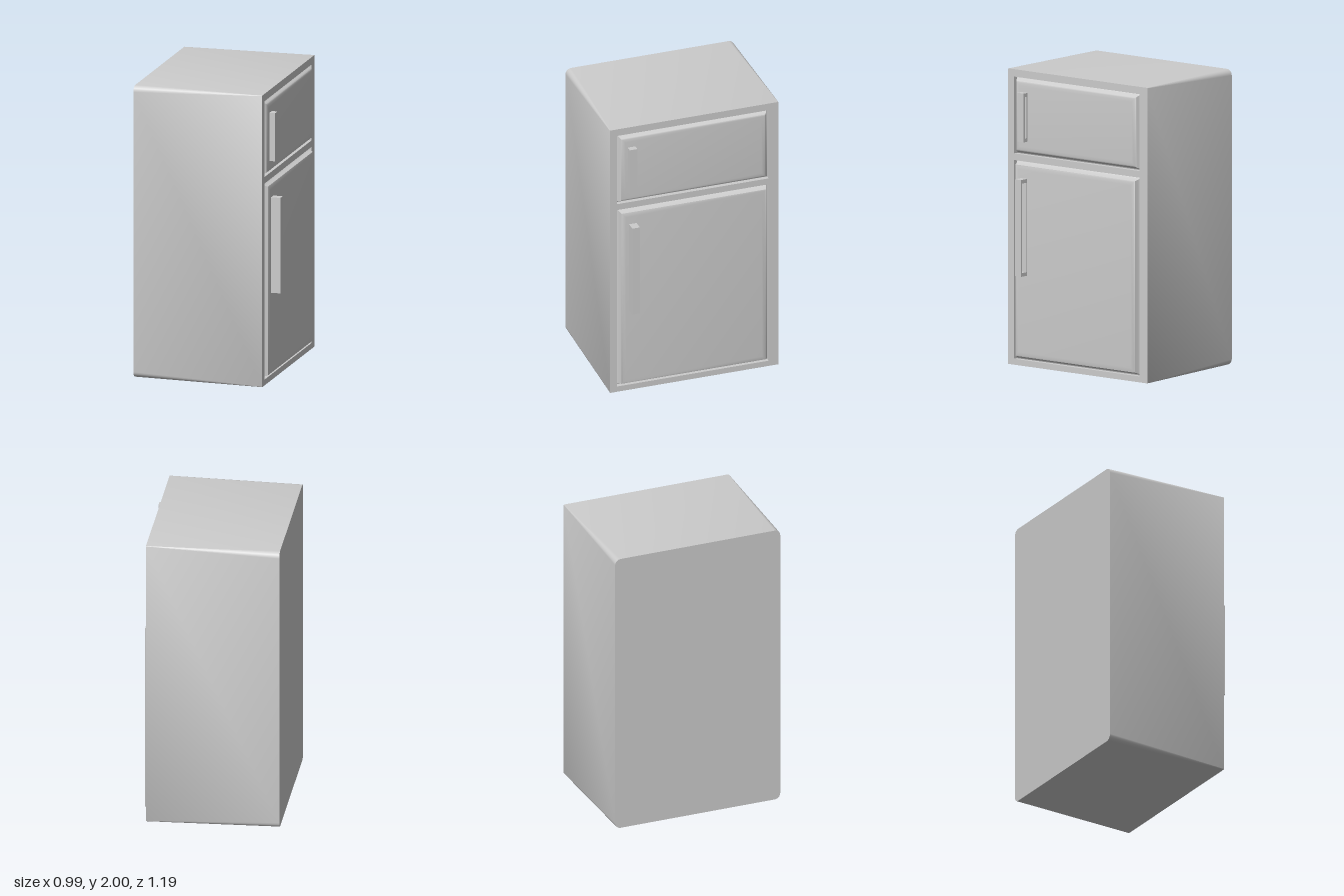
import * as THREE from 'three';
import { toCreasedNormals } from 'three/addons/utils/BufferGeometryUtils.js';

const material = new THREE.MeshStandardMaterial({ color: 0xcccccc });
const BACK = -0.495, FRONT = 0.402, HALF = 0.595, HEIGHT = 2;

// Door openings, seen facing the doors: u runs to the right (u = -z)
const openings = [
  { name: 'freezerDoor', u0: -0.545, u1: 0.525, y0: 1.43, y1: 1.95, face: 0.415 },
  { name: 'fridgeDoor', u0: -0.545, u1: 0.525, y0: 0.04, y1: 1.385, face: 0.425 },
];

// Rounded rectangle at depth x, as counter-clockwise [x, y, z] points
function ring(x, u0, u1, y0, y1, radius = 0, steps = 0) {
  const corners = [[u1, y1, -1, -1], [u0, y1, 1, -1], [u0, y0, 1, 1], [u1, y0, -1, 1]];
  const points = [];
  corners.forEach(([u, y, su, sy], i) => {
    for (let k = 0; k <= steps; k++) {
      const a = (i + (steps ? k / steps : 0.5)) * Math.PI / 2;
      const r = steps ? radius : 0;
      points.push([x, y + sy * r + r * Math.sin(a), -(u + su * r + r * Math.cos(a))]);
    }
  });
  return points;
}

// Skin over successive rings, with optional flat ends
function loft(rings, capStart, capEnd, crease) {
  const n = rings[0].length;
  const index = [];
  for (let i = 0; i < rings.length - 1; i++) {
    for (let j = 0; j < n; j++) {
      const a = i * n + j, b = i * n + (j + 1) % n;
      index.push(a, b, b + n, a, b + n, a + n);
    }
  }
  const last = (rings.length - 1) * n;
  for (let j = 1; j < n - 1; j++) {
    if (capStart) index.push(0, j + 1, j);
    if (capEnd) index.push(last, last + j, last + j + 1);
  }
  const geometry = new THREE.BufferGeometry();
  geometry.setAttribute('position', new THREE.Float32BufferAttribute(rings.flat(2), 3));
  geometry.setIndex(index);
  return toCreasedNormals(geometry, crease);
}

function rectangle(Type, x0, x1, y0, y1) {
  const p = new Type();
  p.moveTo(x0, y0);
  p.lineTo(x1, y0);
  p.lineTo(x1, y1);
  p.lineTo(x0, y1);
  p.closePath();
  return p;
}

function add(parent, name, geometry) {
  const mesh = new THREE.Mesh(geometry, material);
  mesh.name = name;
  parent.add(mesh);
  return mesh;
}

// Pull handle hollowed out on the side away from the door edge
function addHandle(parent, name, x0, x1, y0, y1, z0, z1) {
  const handle = new THREE.Group();
  handle.name = name;
  const rim = 0.012, plate = 0.018;
  const frame = rectangle(THREE.Shape, x0, x1, y0, y1);
  frame.holes.push(rectangle(THREE.Path, x0 + rim, x1 - rim, y0 + 0.025, y1 - 0.025));
  const frameGeometry = new THREE.ExtrudeGeometry(frame, { depth: z1 - plate - z0, bevelEnabled: false });
  add(handle, 'handleRim', frameGeometry.translate(0, 0, z0));
  const grip = new THREE.BoxGeometry(x1 - x0, y1 - y0, plate);
  add(handle, 'handleGrip', grip.translate((x0 + x1) / 2, (y0 + y1) / 2, z1 - plate / 2));
  parent.add(handle);
}

export function createModel() {
  const model = new THREE.Group();
  model.name = 'refrigerator';

  // Cabinet: softened corners at the back, square at the door side
  add(model, 'cabinet', loft([
    ring(BACK, -HALF, HALF, 0, HEIGHT, 0.04, 5),
    ring(FRONT, -HALF, HALF, 0, HEIGHT, 0.003, 5),
  ], true, false, 0.7));

  // Front frame around both openings
  const face = rectangle(THREE.Shape, -HALF, HALF, 0, HEIGHT);
  for (const o of openings) face.holes.push(rectangle(THREE.Path, o.u0, o.u1, o.y0, o.y1));
  add(model, 'frontFrame', new THREE.ShapeGeometry(face).rotateY(Math.PI / 2).translate(FRONT, 0, 0));

  // Each door: recess wall, then a cushioned panel rising out of it
  for (const o of openings) {
    const profile = [
      [FRONT, 0], [0.372, 0], [0.376, 0.008], [FRONT - 0.004, 0.018],
      [o.face - 0.006, 0.025], [o.face - 0.002, 0.034], [o.face, 0.055],
    ];
    const rings = profile.map(([x, inset]) =>
      ring(x, o.u0 + inset, o.u1 - inset, o.y0 + inset, o.y1 - inset));
    add(model, o.name, loft(rings, false, true, 0.75));
  }

  addHandle(model, 'freezerHandle', 0.412, 0.455, 1.525, 1.855, 0.42, 0.474);
  addHandle(model, 'fridgeHandle', 0.422, 0.49, 0.62, 1.275, 0.415, 0.468);
  return model;
}
